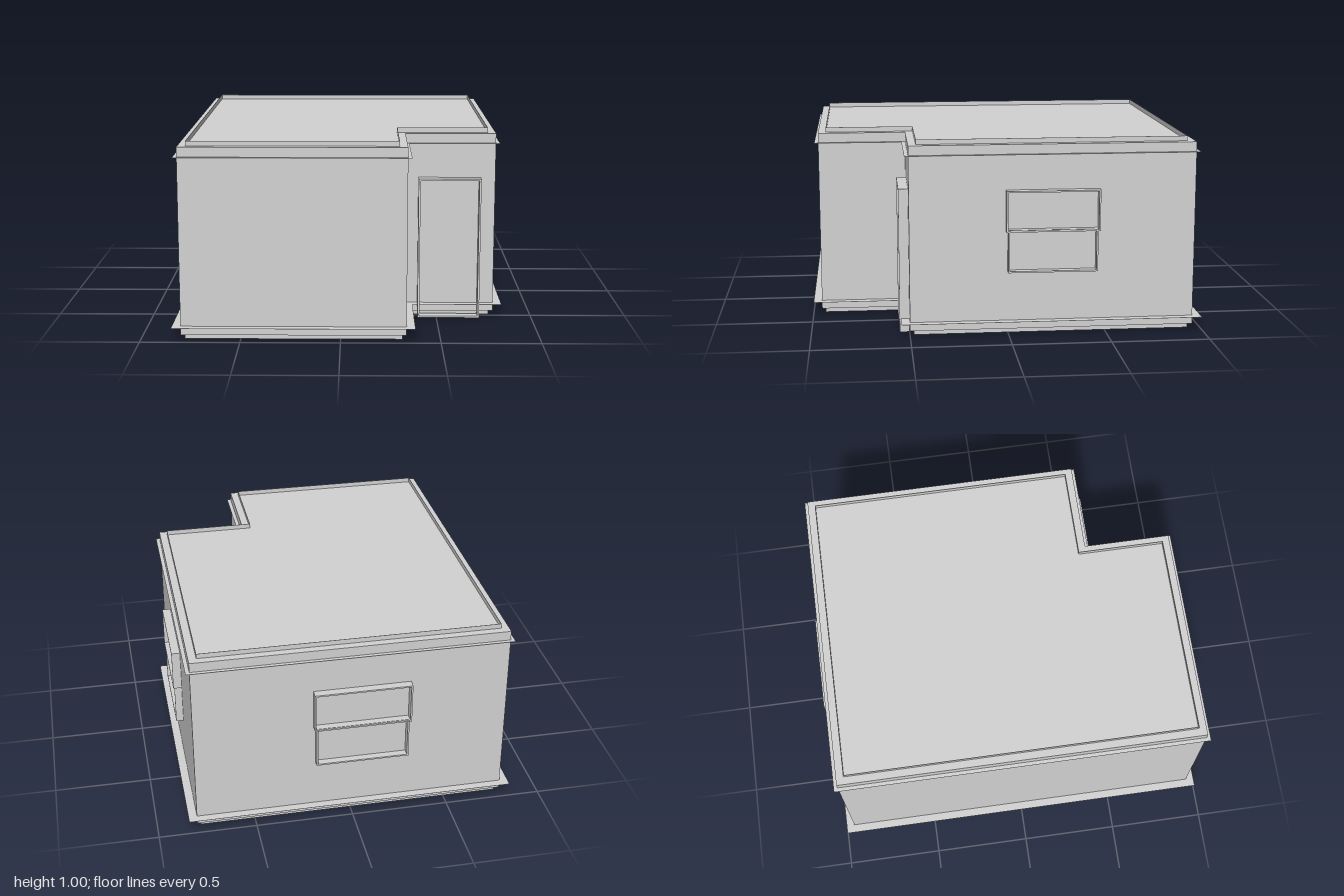
import * as THREE from 'three';

// L-shaped floor plan, grown outward by o; plan z is mirrored for the upright extrusion
function plan(o) {
  return [
    [-0.8 - o, -0.955 - o], [-0.8 - o, 0.955 + o], [0.33 + o, 0.955 + o],
    [0.33 + o, 0.5 + o], [0.8 + o, 0.5 + o], [0.8 + o, -0.955 - o],
  ].map(([x, z]) => new THREE.Vector2(x, -z));
}

// Upright prism over the plan, optionally hollow
function prism(outer, y, height, inner = null) {
  const shape = new THREE.Shape(plan(outer));
  if (inner !== null) shape.holes.push(new THREE.Path(plan(inner)));
  const geo = new THREE.ExtrudeGeometry(shape, { depth: height, bevelEnabled: false });
  return geo.rotateX(-Math.PI / 2).translate(0, y, 0);
}

// Rectangular frame facing +z with bars of the given width
function frame(x0, x1, y0, y1, bar, depth) {
  const corners = (b) => [[x0 + b, y0 + b], [x1 - b, y0 + b], [x1 - b, y1 - b], [x0 + b, y1 - b]]
    .map(([x, y]) => new THREE.Vector2(x, y));
  const shape = new THREE.Shape(corners(0));
  shape.holes.push(new THREE.Path(corners(bar)));
  return new THREE.ExtrudeGeometry(shape, { depth, bevelEnabled: false });
}

export function createModel() {
  const model = new THREE.Group();
  model.name = 'house';
  const plaster = new THREE.MeshStandardMaterial({ color: 0xd2d2d2 });
  plaster.name = 'light plaster grey';

  const add = (name, geo, parent = model) => {
    const mesh = new THREE.Mesh(geo, plaster);
    mesh.name = name;
    parent.add(mesh);
    return mesh;
  };

  // Main body with roof and floor slabs
  add('walls', prism(0, 0.025, 0.95));

  // Thin raised lips around the roof and under the floor
  add('roofLip', prism(-0.04, 0.975, 0.025, -0.042));
  add('baseLip', prism(-0.02, 0, 0.025, -0.022));

  // Thin flanges running around the walls
  add('cornice', prism(0.02, 0.925, 0.001, -0.005));
  add('skirting', prism(0.043, 0.069, 0.001, -0.005));

  // Door casing standing proud of the porch wall
  add('doorFrame', frame(0.4, 0.725, 0, 0.745, 0.01, 0.05)).position.z = 0.5;

  // Sash window with recessed panes, facing +z with its back at z = 0
  function makeWindow(name) {
    const win = new THREE.Group();
    win.name = name;
    add('upperSash', frame(-0.238, 0.238, 0.535, 0.745, 0.008, 0.044), win);
    add('lowerSash', frame(-0.228, 0.228, 0.325, 0.545, 0.008, 0.038), win);
    model.add(win);
    return win;
  }
  const side = makeWindow('sideWindow');
  side.position.set(0.8, 0, -0.225);
  side.rotation.y = Math.PI / 2;
  const back = makeWindow('backWindow');
  back.position.set(-0.05, 0, -0.955);
  back.rotation.y = Math.PI;
  back.scale.x = 1.04;

  return model;
}
